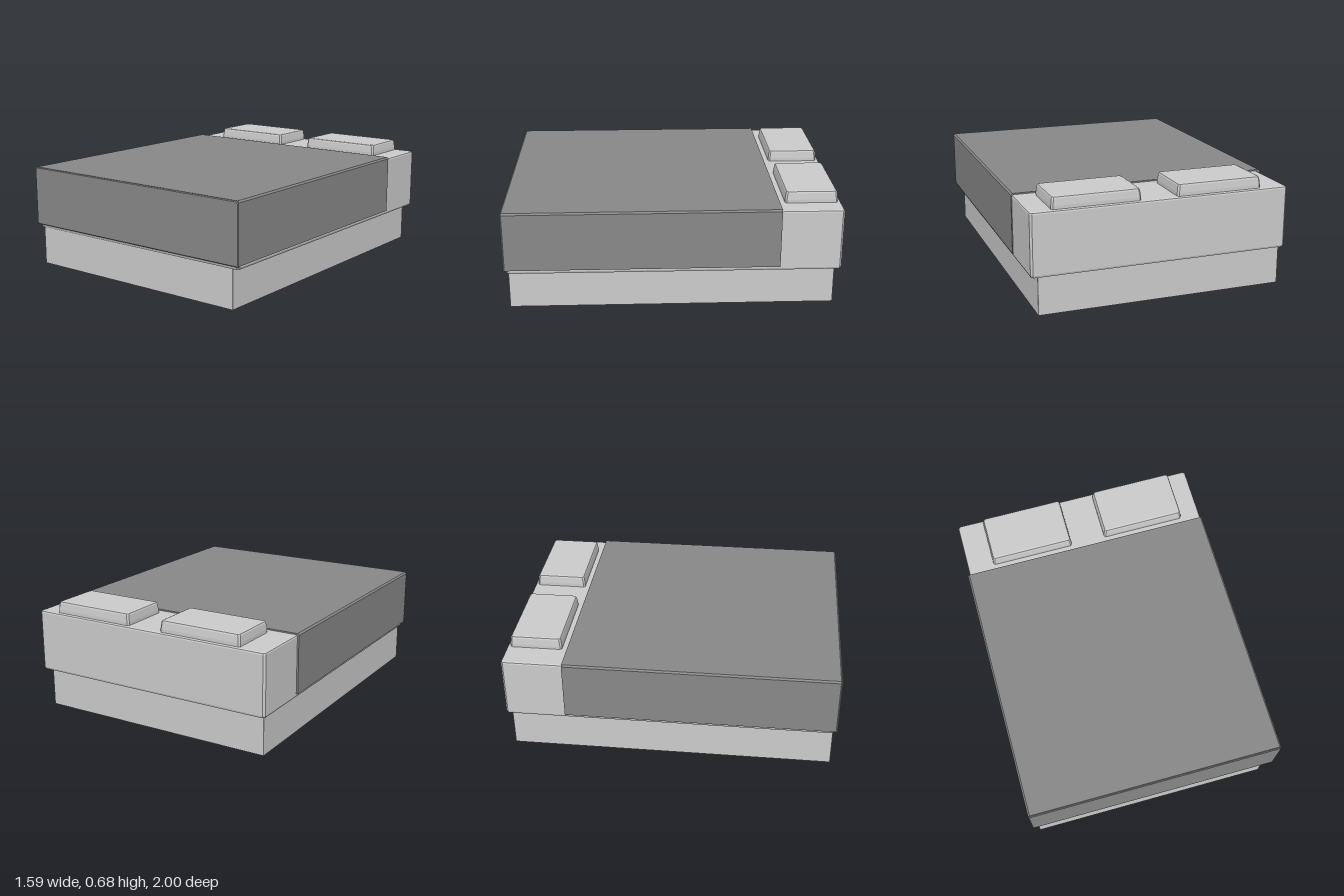
import * as THREE from 'three';

const paint = (color) => new THREE.MeshStandardMaterial({ color, side: THREE.DoubleSide, flatShading: true });

// Stacks rectangular rings [x0, x1, z0, z1, y, corner] from bottom to top; optionally closes the top.
function loft(rings, closeTop) {
  const pos = [], idx = [], n = 8;
  for (const [x0, x1, z0, z1, y, c] of rings) {
    const plan = [
      [x0 + c, z1], [x1 - c, z1], [x1, z1 - c], [x1, z0 + c],
      [x1 - c, z0], [x0 + c, z0], [x0, z0 + c], [x0, z1 - c],
    ];
    for (const [x, z] of plan) pos.push(x, y, z);
  }
  for (let r = 0; r < rings.length - 1; r++) {
    for (let i = 0; i < n; i++) {
      const a = r * n + i, b = r * n + (i + 1) % n;
      idx.push(a, b, b + n, a, b + n, a + n);
    }
  }
  if (closeTop) {
    const t = (rings.length - 1) * n;
    for (let i = 1; i < n - 1; i++) idx.push(t, t + i, t + i + 1);
  }
  const g = new THREE.BufferGeometry();
  g.setAttribute('position', new THREE.Float32BufferAttribute(pos, 3));
  g.setIndex(idx);
  const flat = g.toNonIndexed();
  flat.computeVertexNormals();
  return flat;
}

// Outline with softened top corners, hanging from top down to bottom.
function drape(x0, x1, bottom, top, c) {
  return [[x0, bottom], [x1, bottom], [x1, top - c], [x1 - c, top], [x0 + c, top], [x0, top - c]]
    .map(([x, y]) => new THREE.Vector2(x, y));
}

export function createModel() {
  const group = new THREE.Group();
  const frameMat = paint(0xcccccc), mattressMat = paint(0xeeeeee), blanketMat = paint(0x888888);
  const add = (name, geometry, material, parent = group) => {
    const mesh = new THREE.Mesh(geometry, material);
    mesh.name = name;
    parent.add(mesh);
    return mesh;
  };

  // Base: four thin walls, open above and below
  add('baseFrame', loft([
    [-0.76, 0.735, -0.967, 0.97, 0, 0.001],
    [-0.76, 0.735, -0.967, 0.97, 0.25, 0.001],
  ], false), frameMat);

  // Mattress: hollow shell with softened edges and an open underside
  add('mattress', loft([
    [-0.765, 0.765, -0.985, 0.965, 0.232, 0.01],
    [-0.777, 0.777, -0.996, 0.976, 0.236, 0.012],
    [-0.782, 0.782, -1, 0.98, 0.248, 0.012],
    [-0.782, 0.782, -1, 0.98, 0.598, 0.012],
    [-0.779, 0.779, -0.997, 0.977, 0.606, 0.012],
    [-0.77, 0.77, -0.988, 0.968, 0.61, 0.01],
  ], true), mattressMat);

  // Blanket: arch over the mattress, front panel and a fold tucked under the left side
  const blanket = new THREE.Group();
  blanket.name = 'blanket';
  group.add(blanket);
  const outer = drape(-0.795, 0.79, 0.26, 0.62, 0.01);
  const inner = drape(-0.785, 0.785, 0.26, 0.612, 0.01);
  const arch = new THREE.Shape([...outer.slice(1), outer[0], inner[0], ...inner.slice(2).reverse(), inner[1]]);
  add('blanketCover', new THREE.ExtrudeGeometry(arch, { depth: 1.62, bevelEnabled: false })
    .translate(0, 0, -0.635), blanketMat, blanket);
  const panel = new THREE.Shape(drape(-0.79, 0.785, 0.26, 0.615, 0.01));
  add('blanketFront', new THREE.ExtrudeGeometry(panel, {
    depth: 0.002, bevelThickness: 0.005, bevelSize: 0.005, bevelSegments: 1,
  }).translate(0, 0, 0.988), blanketMat, blanket);
  const fold = new THREE.Shape([[0.735, 0.96], [0.62, 0.73], [0.62, -0.635], [0.735, -0.635]]
    .map(([x, z]) => new THREE.Vector2(x, z)));
  add('blanketFold', new THREE.ShapeGeometry(fold).rotateX(Math.PI / 2)
    .translate(0, 0.25, 0), blanketMat, blanket);

  // Pillows: slightly tapered cushions
  for (const [name, x0, x1] of [['rightPillow', -0.615, -0.09], ['leftPillow', 0.13, 0.655]]) {
    add(name, loft([
      [x0, x1, -0.98, -0.667, 0.605, 0.01],
      [x0, x1, -0.98, -0.667, 0.63, 0.01],
      [x0 + 0.005, x1 - 0.005, -0.975, -0.672, 0.668, 0.01],
      [x0 + 0.009, x1 - 0.009, -0.971, -0.676, 0.677, 0.01],
      [x0 + 0.018, x1 - 0.018, -0.962, -0.685, 0.68, 0.01],
    ], true), frameMat);
  }
  return group;
}
